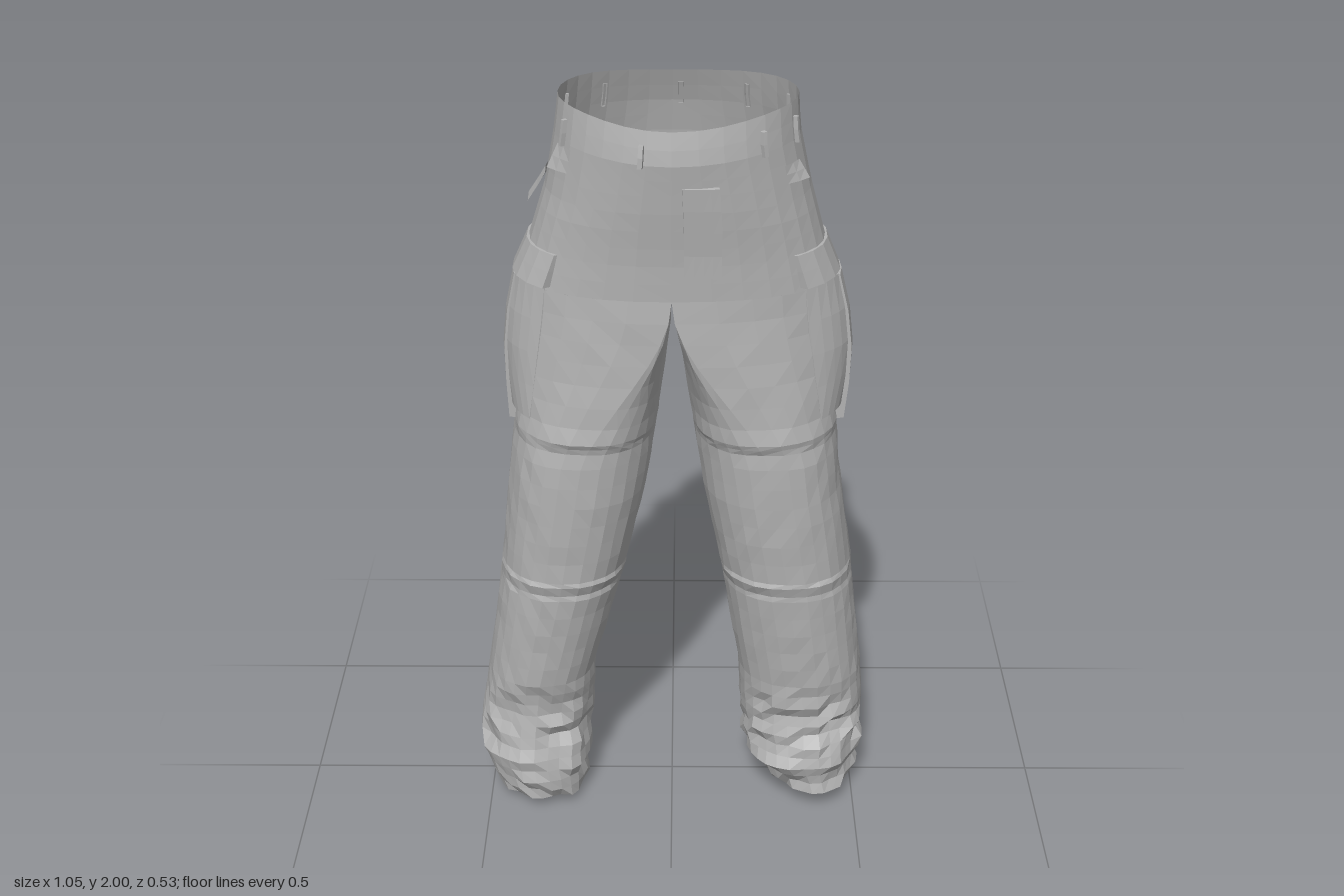
import * as THREE from 'three';

const fabric = new THREE.MeshStandardMaterial({ color: 0xb2b2b2, flatShading: true, side: THREE.DoubleSide });
fabric.name = 'grey fabric';

const CROTCH = 1.54;
const { smoothstep, clamp, lerp } = THREE.MathUtils;

// Cross-sections: y, outer x (left, right), inner x (left, right), front z, back z
const sections = [
  [2.00, 0.30, 0.27, 0, 0, 0.25, -0.17],
  [1.92, 0.305, 0.28, 0, 0, 0.265, -0.197],
  [1.78, 0.335, 0.305, 0, 0, 0.252, -0.222],
  [1.65, 0.37, 0.345, 0, 0, 0.235, -0.203],
  [1.54, 0.40, 0.38, 0, 0, 0.23, -0.197],
  [1.40, 0.41, 0.39, 0.015, 0.005, 0.235, -0.197],
  [1.20, 0.415, 0.395, 0.045, 0.03, 0.235, -0.19],
  [1.00, 0.432, 0.42, 0.073, 0.058, 0.233, -0.183],
  [0.70, 0.477, 0.452, 0.13, 0.125, 0.215, -0.168],
  [0.40, 0.512, 0.495, 0.18, 0.208, 0.187, -0.147],
  [0.24, 0.525, 0.522, 0.188, 0.215, 0.172, -0.13],
  [0.12, 0.52, 0.53, 0.195, 0.22, 0.215, -0.13],
  [0.00, 0.505, 0.475, 0.265, 0.235, 0.195, -0.135],
];

function sectionAt(y) {
  let i = 0;
  while (i < sections.length - 2 && y < sections[i + 1][0]) i++;
  const a = sections[i], b = sections[i + 1];
  const k = clamp((a[0] - y) / (a[0] - b[0]), 0, 1);
  return a.map((v, j) => lerp(v, b[j], k));
}

// Point on one half of the trousers; t runs front, outside, back, inside
function surface(side, t, y, offset = 0) {
  const s = sectionAt(y), left = side > 0;
  const xo = left ? s[1] : s[2], xi = left ? s[3] : s[4];
  // Below the crotch the inner thighs start flat and round off further down
  const xm = (xo + xi) / 2 * smoothstep(CROTCH - y, 0, 0.48);
  const sn = Math.sin(t), cs = Math.cos(t);
  // Oval waist, fuller hips, and legs that are rounder behind than in front
  const ankle = smoothstep(0.9 - y, 0, 0.6) * (cs < 0 ? 0.12 : 0.03);
  const power = lerp(0.87, 0.97, smoothstep(y, 1.7, 1.95)) + ankle;
  const soft = (v) => Math.sign(v) * Math.pow(Math.abs(v), power);
  const zm = (s[5] + s[6]) / 2, depth = (s[5] - s[6]) / 2;
  const x = xm + soft(sn) * (sn > 0 ? xo - xm : xm - xi) + sn * offset;
  const z = zm + soft(cs) * depth + cs * offset;
  // Waist dips at front and back; hems are slanted and the left one is higher
  const dip = (cs > 0 ? 0.03 : 0.015) * cs ** 4 * smoothstep(y, 1.8, 2);
  const low = Math.max(0, 1 - y / 0.3);
  const lift = low * ((left ? 0.03 : 0) + 0.03 * (cs + 1) / 2);
  return [side * x, y - dip + lift, z];
}

// Surface grid from a point function, with u across and v downwards
function gridMesh(name, side, nu, nv, pointAt) {
  const pos = [], index = [];
  for (let j = 0; j <= nv; j++)
    for (let i = 0; i <= nu; i++) pos.push(...pointAt(i, j));
  for (let j = 0; j < nv; j++)
    for (let i = 0; i < nu; i++) {
      const a = j * (nu + 1) + i, b = a + 1, c = a + nu + 1, d = c + 1;
      if (side > 0) index.push(a, c, b, b, c, d);
      else index.push(a, b, c, b, d, c);
    }
  const g = new THREE.BufferGeometry();
  g.setAttribute('position', new THREE.Float32BufferAttribute(pos, 3));
  g.setIndex(index);
  g.computeVertexNormals();
  const mesh = new THREE.Mesh(g, fabric);
  mesh.name = name;
  return mesh;
}

// Repeatable creases
function noise(i, j, k) {
  const v = Math.sin(i * 127.1 + j * 311.7 + k * 74.7) * 43758.5453;
  return (v - Math.floor(v)) * 2 - 1;
}

// Sewn-on panel that follows the surface, with its border tucked in.
// span gives the angle range at height fraction v, thick the offset at (u, v)
function panel(name, side, span, yLow, yHigh, thick, { nu = 6, nv = 6, tuck = true } = {}) {
  // The outer two rows lie close together so that the border stands up steeply
  const step = (k, n) => {
    if (!tuck || k === 0 || k === n) return k / n;
    return 0.01 + 0.98 * (k - 1) / (n - 2);
  };
  return gridMesh(name, side, nu, nv, (i, j) => {
    const edge = tuck && (i === 0 || j === 0 || i === nu || j === nv);
    const u = step(i, nu), v = step(j, nv), [t0, t1] = span(v);
    return surface(side, lerp(t0, t1, u), lerp(yHigh, yLow, v), edge ? -0.006 : thick(u, v));
  });
}

const between = (t0, t1) => () => [t0, t1];

function legRows() {
  const ys = [1.155, 1.125, 0.73, 0.70];
  for (let i = 0; i <= 20; i++) ys.push(CROTCH - (CROTCH - 0.4) * i / 20);
  for (let i = 1; i <= 11; i++) ys.push(0.4 - 0.4 * i / 11);
  return ys.sort((a, b) => b - a);
}

// Creases of the leg: knee seams in front, crumpled cloth at the ankle
function legCrease(side, t, k, j, y) {
  if (y > CROTCH - 0.01) return 0;
  const front = Math.max(0, Math.cos(t));
  let o = noise(k, j, side) * 0.002;
  if (y === 1.155 || y === 0.73) o += 0.005 * front;
  if (y === 1.125 || y === 0.70) o -= 0.004 * front;
  const crumple = smoothstep(0.27 + 0.16 * front - y, 0, 0.12);
  return o + crumple * (noise(k >> 1, j, side + 5) * 0.013 - 0.006);
}

function buildHalf(side) {
  const half = new THREE.Group();
  half.name = side > 0 ? 'leftHalf' : 'rightHalf';
  const add = (...args) => half.add(panel(...args));

  // Hip and leg shells
  half.add(gridMesh('hip', side, 16, 10, (i, j) =>
    surface(side, Math.PI * i / 16, 2 - (2 - CROTCH) * j / 10)));
  const ys = legRows(), n = 28, last = ys.length;
  half.add(gridMesh('leg', side, n, last, (i, j) => {
    const t = 2 * Math.PI * i / n;
    if (j === last) return surface(side, t, 0.03, -0.035); // turned-in hem
    return surface(side, t, ys[j], legCrease(side, t, i % n, j, ys[j]));
  }));

  // Cargo pocket in three pleats, rising softly from the front, with its flap
  const full = side > 0 ? 0.042 : 0.032;
  const swell = (v) => 0.45 + 0.55 * Math.sin(Math.PI * v);
  add('cargoPocketFront', side, between(0.9, 1.4), 1.19, 1.55, (u, v) => full * (0.05 + 0.75 * u) * swell(v));
  add('cargoPocketMiddle', side, between(1.38, 2.0), 1.15, 1.55, (u, v) => full * swell(v));
  add('cargoPocketBack', side, between(1.98, 2.5), 1.16, 1.55, (u, v) => full * 0.6 * swell(v));
  add('cargoFlap', side, between(0.85, 2.5), 1.55, 1.635, (u, v) => 0.006 + 0.012 * v, { nu: 10, nv: 4 });

  // Drop-shaped seat reinforcement, pointed above and wrapping under the crotch
  const seatTop = 1.75, seatLow = 1.25, turn = (seatTop - CROTCH) / (seatTop - seatLow);
  add('seatPatch', side, (v) => [
    3.08 - 0.32 * Math.sin(Math.PI * v ** 1.4) ** 0.8,
    3.14 + 0.8 * Math.sin(Math.PI * clamp((v - turn) / (1 - turn), 0, 1)) ** 0.7,
  ], seatLow, seatTop, () => 0.006, { nu: 8, nv: 12 });

  // Back pocket flap standing away at its lower edge
  add('backPocketFlap', side, between(2.25, 2.9), 1.685, 1.785,
    (u, v) => 0.006 + v * (side > 0 ? 0.045 + 0.015 * u : 0.025), { nu: 4, nv: 2, tuck: false });

  // Small front pocket fold
  add('frontPocketFold', side, between(0.95, 1.2), side > 0 ? 1.815 : 1.84, side > 0 ? 1.86 : 1.9,
    (u, v) => 0.003 + 0.018 * v * u, { nu: 2, nv: 2, tuck: false });

  // Belt loops
  const loops = side > 0 ? [0.75, 1.23, 1.95, 2.5, 3.08] : [0.24, 1.1, 1.95, 2.5];
  for (const t of loops)
    add('beltLoop', side, between(t - 0.02, t + 0.02), 1.9, 1.965, () => 0.01, { nu: 3, nv: 4 });
  return half;
}

export function createModel() {
  const model = new THREE.Group();
  model.name = 'cargoTrousers';
  model.add(buildHalf(1), buildHalf(-1));
  // Fly cover beside the centre seam
  model.add(panel('flyCover', 1, (v) => [0.06 - 0.01 * v, 0.32 - 0.065 * v], 1.6, 1.84,
    (u) => 0.002 + 0.008 * u));
  // Open flap on the right hip
  model.add(panel('sideFlap', -1, between(1.45, 2.0), 1.73, 1.8,
    (u, v) => 0.005 + 0.025 * v, { nu: 3, nv: 2, tuck: false }));
  return model;
}
